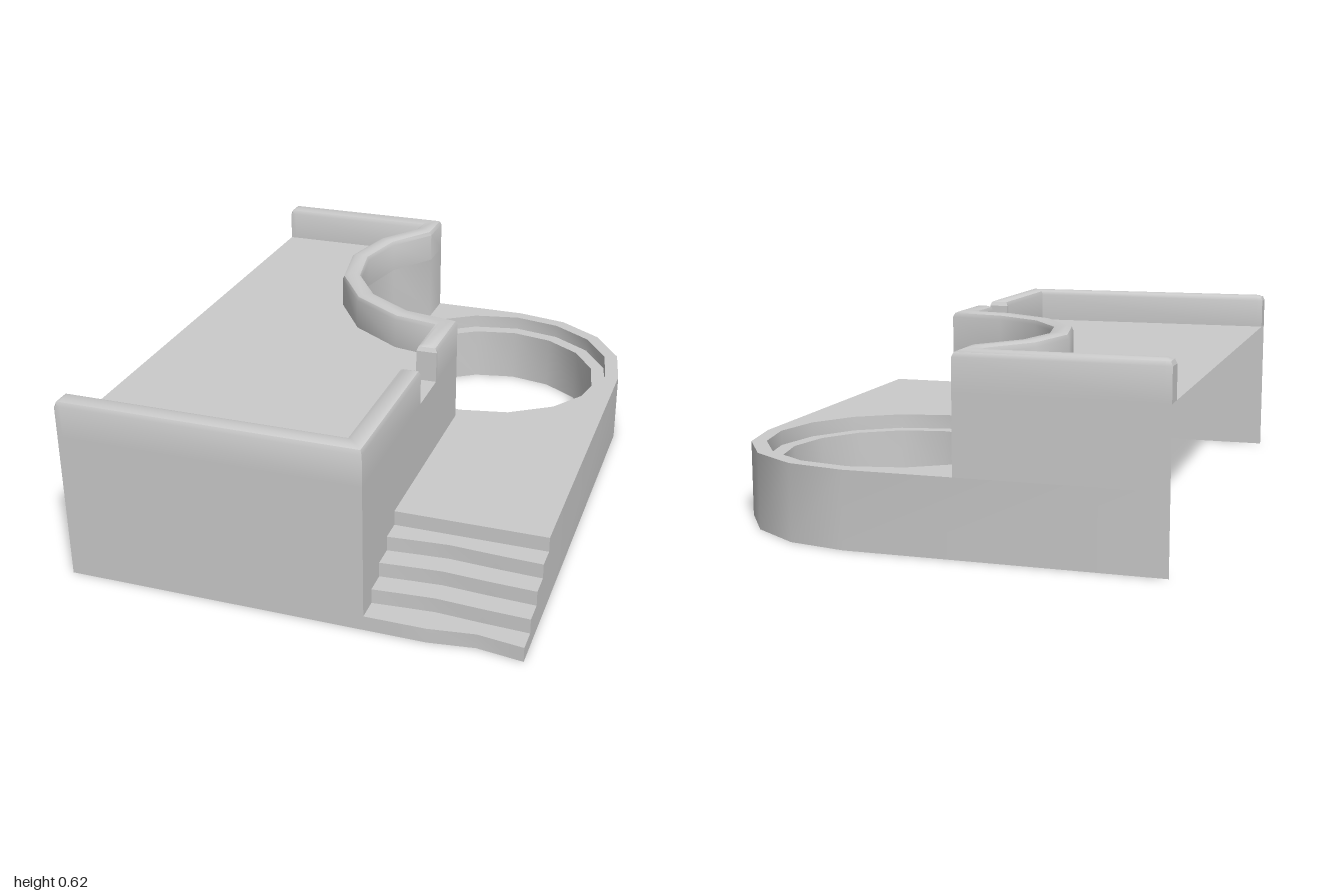
import * as THREE from 'three';
import { toCreasedNormals } from 'three/addons/utils/BufferGeometryUtils.js';

const FLOOR = 0.5, DECK = 0.25, TOP = 0.625, THICK = 0.07, ROUND = 0.02;
const POOL = { x: 0.25, z: -0.5 };

export function createModel() {
  const group = new THREE.Group();
  const material = new THREE.MeshStandardMaterial({ color: 0xcccccc, side: THREE.DoubleSide });

  const add = (name, geometry) => {
    const mesh = new THREE.Mesh(geometry, material);
    mesh.name = name;
    group.add(mesh);
    return mesh;
  };

  // Surface through rows of [x, y, z] points
  const grid = (name, rows) => {
    const n = rows[0].length, index = [];
    for (let i = 0; i < rows.length - 1; i++) {
      for (let j = 0; j < n - 1; j++) {
        const a = i * n + j, b = a + n;
        index.push(a, b, a + 1, b, b + 1, a + 1);
      }
    }
    const g = new THREE.BufferGeometry();
    g.setAttribute('position', new THREE.Float32BufferAttribute(rows.flat(2), 3));
    g.setIndex(index);
    return add(name, toCreasedNormals(g, 0.65));
  };

  // Upright sheet along a plan path of [x, z]
  const curtain = (name, path, y0, y1) =>
    grid(name, [y0, y1].map(y => path.map(([x, z]) => [x, y, z])));

  // Horizontal slab surface from a plan outline
  const flat = (name, outline, y, hole) => {
    const shape = new THREE.Shape(outline.map(([x, z]) => new THREE.Vector2(x, -z)));
    if (hole) shape.holes.push(new THREE.Path(hole.map(([x, z]) => new THREE.Vector2(x, -z))));
    add(name, new THREE.ShapeGeometry(shape).rotateX(-Math.PI / 2).translate(0, y, 0));
  };

  // Points of a 16-sided circle round the pool, steps of 22.5 degrees from +x towards +z
  const arc = (r, from, to) => {
    const pts = [], s = Math.sign(to - from);
    for (let k = from; k !== to + s; k += s) {
      const a = k * Math.PI / 8;
      pts.push([POOL.x + r * Math.cos(a), POOL.z + r * Math.sin(a)]);
    }
    return pts;
  };

  const bay = arc(0.5, 4, 10);            // concave wall, from (0.25, 0) round to the back
  const bayEnd = [bay[6][0], -1];
  const corner = arc(0.5, 12, 16);        // rounded back corner of the deck

  // Floors
  flat('upperFloor', [[-0.75, 1], [0.25, 1], ...bay, bayEnd, [-0.75, -1]], FLOOR);
  flat('lowerDeck', [[0.25, 0.7], ...bay, bayEnd, ...corner, [0.75, 0.7]], DECK, arc(0.45, 0, 15));

  // Walls
  curtain('frontWall', [[-0.75, 1], [0.25, 1]], 0, FLOOR);
  curtain('bayWall', [[0.25, 1], ...bay, bayEnd], DECK, FLOOR);
  curtain('backWall', [bayEnd, [-0.75, -1]], DECK, FLOOR);
  curtain('deckSkirt', [[-0.75, -1], ...corner, [0.75, 0.7]], 0, DECK);

  // Pool with a sunken ledge, open underneath
  const poolProfile = [[0.45, DECK], [0.45, 0.2], [0.4, 0.2], [0.4, 0]].map(p => new THREE.Vector2(...p));
  const pool = add('pool', toCreasedNormals(new THREE.LatheGeometry(poolProfile, 16), 0.65));
  pool.position.set(POOL.x, 0, POOL.z);

  // Stairs with slightly worn edges
  const columns = [0.25, 0.35, 0.45, 0.6, 0.75];
  const wear = [[0, 0, 0, -0.02, 0], [0, -0.008, -0.015, -0.006, 0]];
  const stairs = [];
  for (let k = 0; k < 5; k++) {
    const dip = k === 4 ? [0, 0, 0, 0, 0] : wear[Math.min(k, 1)];
    for (const y of [k * 0.05, k * 0.05 + 0.05]) {
      stairs.push(columns.map((x, i) => [x, y, 1 - k * 0.075 + dip[i]]));
    }
  }
  grid('stairs', stairs);
  grid('stairSide', [stairs.map(r => r[4]), stairs.map(r => [0.75, 0, r[4][2]])]);
  grid('stairWall', [stairs.map(r => r[0]), stairs.map(r => [0.25, DECK, r[0][2]])]);

  // Parapet with a rounded top: cross-sections offset inwards along a plan path
  const half = [[0, FLOOR], [0, TOP - ROUND], [ROUND * 0.3, TOP - ROUND * 0.3], [ROUND, TOP]];
  const section = [...half, ...half.map(([t, y]) => [THICK - t, y]).reverse()];
  const parapet = (name, path) => {
    const pts = path.map(p => new THREE.Vector2(...p));
    const n = pts.length;
    const dir = i => pts[i + 1].clone().sub(pts[i]).normalize();
    const stations = pts.map((p, i) => {
      const d0 = dir(Math.max(i - 1, 0)), d1 = dir(Math.min(i, n - 2));
      const n0 = new THREE.Vector2(d0.y, -d0.x), n1 = new THREE.Vector2(d1.y, -d1.x);
      const miter = n0.clone().add(n1).divideScalar(1 + n0.dot(n1));
      return { p, miter, drop: 0 };
    });
    // Extra stations round off each end
    const easing = (i, sign) => [[0, ROUND], [ROUND * 0.3, ROUND * 0.3], [ROUND, 0]].map(([s, drop]) => ({
      p: pts[i].clone().addScaledVector(dir(sign > 0 ? 0 : n - 2), s * sign),
      miter: stations[i].miter, drop,
    }));
    const all = [...easing(0, 1), ...stations.slice(1, -1), ...easing(n - 1, -1).reverse()];
    const rows = all.map(({ p, miter, drop }) => section.map(([t, y]) =>
      [p.x + miter.x * t, Math.min(y, TOP - drop), p.y + miter.y * t]));
    grid(name, rows);
    for (const row of [rows[0], rows[rows.length - 1]]) {
      grid(name + 'End', [[row[0], row[7]], [row[1], row[6]]]);
    }
  };
  parapet('frontParapet', [[-0.75, 1], [0.25, 1], [0.25, 0.43]]);
  parapet('bayParapet', [[0.25, 0.255], ...bay, bayEnd, [-0.75, -1]]);

  return group;
}
